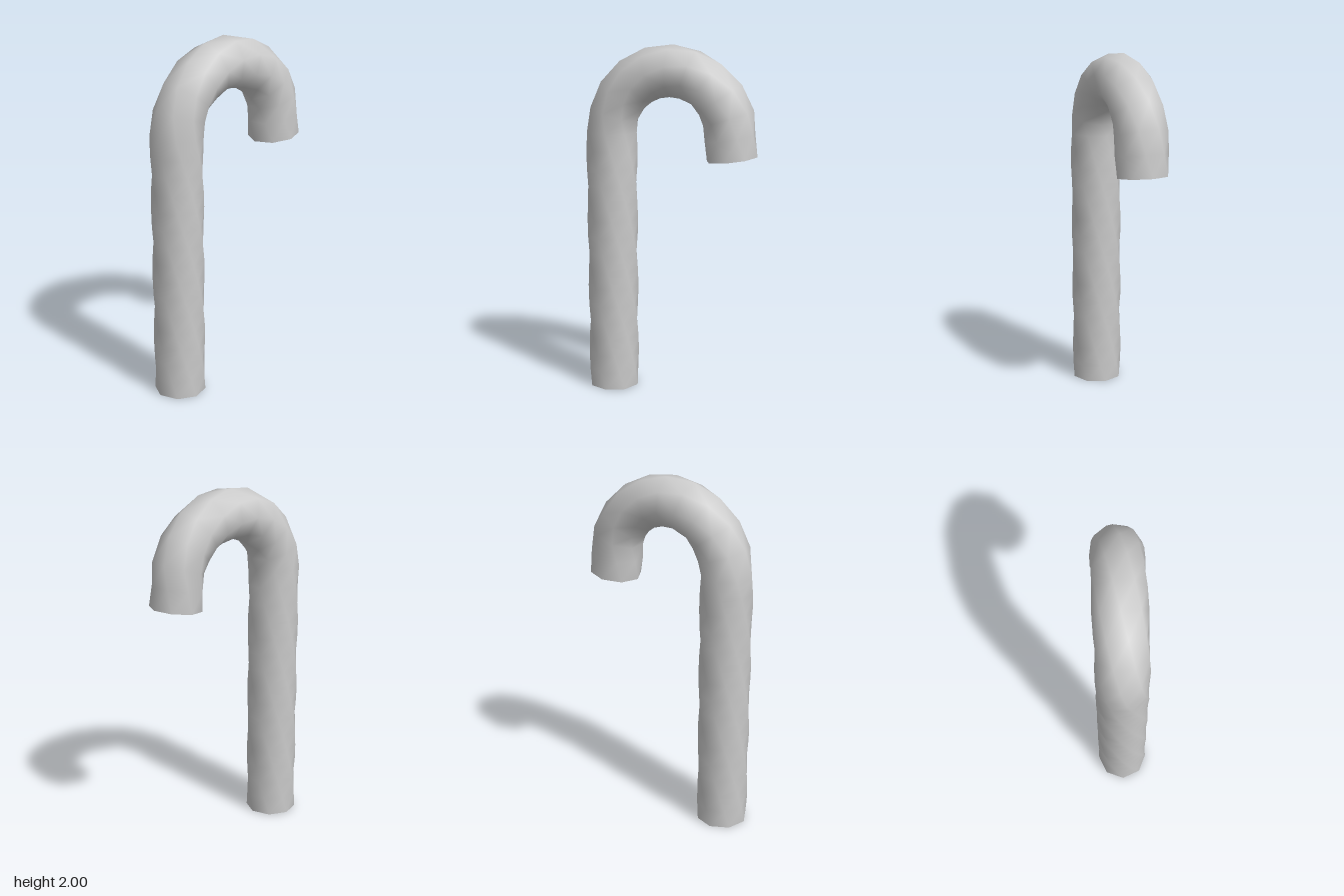
import * as THREE from 'three';

const SIDES = 8;
const RADIUS = 0.145;
const BEND = 0.355;      // radius of the crook's centre line
const BEND_Y = 1.5;      // height where the shaft turns into the crook
const TWIST = 7 * Math.PI / 4;
const rad = THREE.MathUtils.degToRad;

// Centre line stations: position plus the direction pointing out of the bend
function stations() {
  const list = [];
  const add = (x, y, deg) => list.push({ p: new THREE.Vector3(x, y, 0), angle: rad(deg) });
  for (let i = 0; i < 15; i++) add(-BEND, BEND_Y * i / 15, 180);
  const steps = 9;
  for (let i = 0; i <= steps; i++) {
    const deg = 180 - 162 * i / steps;
    const r = BEND - 0.01 * Math.max(0, i / steps * 2 - 1);
    add(r * Math.cos(rad(deg)), BEND_Y + r * Math.sin(rad(deg)), deg);
  }
  add(0.338, 1.5, 9);
  add(0.35, 1.3825, 6.9);
  return list;
}

// Octagonal cross-sections that turn steadily along the centre line
function crossSections() {
  const list = stations();
  let length = 0;
  const along = list.map((s, i) => (length += i ? s.p.distanceTo(list[i - 1].p) : 0));
  return list.map(({ p, angle }, i) => {
    const out = new THREE.Vector3(Math.cos(angle), Math.sin(angle), 0);
    const ring = [];
    for (let k = 0; k < SIDES; k++) {
      const a = k * 2 * Math.PI / SIDES + TWIST * along[i] / length;
      ring.push(p.clone().addScaledVector(out, RADIUS * Math.cos(a))
        .add(new THREE.Vector3(0, 0, -RADIUS * Math.sin(a))));
    }
    return ring;
  });
}

function geometryFrom(points, index) {
  const g = new THREE.BufferGeometry().setFromPoints(points);
  g.setIndex(index);
  g.computeVertexNormals();
  return g;
}

// Smooth skin joining neighbouring cross-sections
function skinGeometry(rings) {
  const index = [];
  for (let i = 0; i < rings.length - 1; i++) {
    for (let k = 0; k < SIDES; k++) {
      const a = i * SIDES + k, b = i * SIDES + (k + 1) % SIDES;
      index.push(a, a + SIDES, b, b, a + SIDES, b + SIDES);
    }
  }
  return geometryFrom(rings.flat(), index);
}

// Flat end face
function capGeometry(ring, flip) {
  const index = [];
  for (let k = 1; k < SIDES - 1; k++) index.push(0, flip ? k + 1 : k, flip ? k : k + 1);
  return geometryFrom(ring, index);
}

export function createModel() {
  const group = new THREE.Group();
  group.name = 'cane';
  const material = new THREE.MeshStandardMaterial({ color: 0xcccccc });
  const add = (name, geometry) => {
    const mesh = new THREE.Mesh(geometry, material);
    mesh.name = name;
    group.add(mesh);
  };

  const rings = crossSections();
  add('twistedCane', skinGeometry(rings));
  add('bottomCap', capGeometry(rings[0], false));
  add('hookCap', capGeometry(rings[rings.length - 1], true));
  return group;
}
